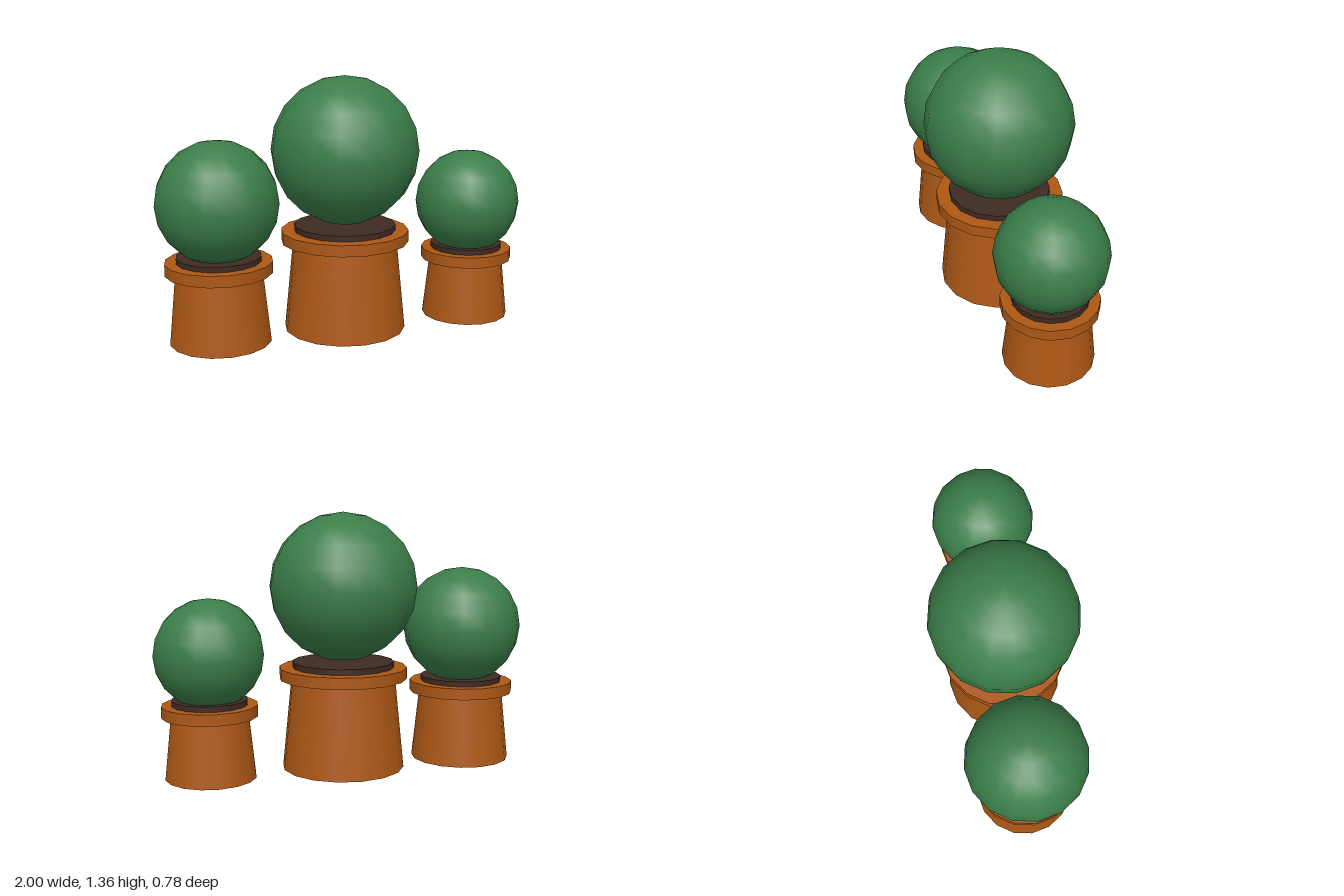
import * as THREE from 'three';

const SIDES = 16;
const clay = new THREE.MeshStandardMaterial({ color: 0xad5815 });
const earth = new THREE.MeshStandardMaterial({ color: 0x3e2a23 });
const leaf = new THREE.MeshStandardMaterial({ color: 0x3a7d48 });

function add(group, name, geometry, material, y) {
  const mesh = new THREE.Mesh(geometry, material);
  mesh.name = name;
  mesh.position.y = y;
  group.add(mesh);
}

// Closed upright cylinder between two heights
function drum(group, name, material, topR, bottomR, y0, y1) {
  add(group, name, new THREE.CylinderGeometry(topR, bottomR, y1 - y0, SIDES), material, (y0 + y1) / 2);
}

// Potted round shrub: pot, rim, soil and ball of leaves
function pottedShrub({ name, x, baseR, topR, rimR, rimY, rimTop, soilR, soilTop, ballR, ballY }) {
  const group = new THREE.Group();
  group.name = name;
  group.position.x = x;
  drum(group, 'pot', clay, topR, baseR, 0, rimY);
  drum(group, 'rim', clay, rimR, rimR, rimY, rimTop);
  drum(group, 'soil', earth, soilR, soilR, rimTop - 0.02, soilTop);
  add(group, 'foliage', new THREE.SphereGeometry(ballR, SIDES, 10), leaf, ballY);
  return group;
}

export function createModel() {
  const model = new THREE.Group();
  model.name = 'pottedShrubs';
  model.add(
    pottedShrub({
      name: 'middleShrub', x: 0, baseR: 0.325, topR: 0.277, rimR: 0.34, rimY: 0.48, rimTop: 0.54,
      soilR: 0.27, soilTop: 0.57, ballR: 0.39, ballY: 0.965,
    }),
    pottedShrub({
      name: 'rightShrub', x: -0.682, baseR: 0.266, topR: 0.227, rimR: 0.279, rimY: 0.37, rimTop: 0.43,
      soilR: 0.22, soilTop: 0.457, ballR: 0.318, ballY: 0.735,
    }),
    pottedShrub({
      name: 'leftShrub', x: 0.715, baseR: 0.236, topR: 0.201, rimR: 0.248, rimY: 0.323, rimTop: 0.382,
      soilR: 0.195, soilTop: 0.41, ballR: 0.283, ballY: 0.643,
    }),
  );
  return model;
}
